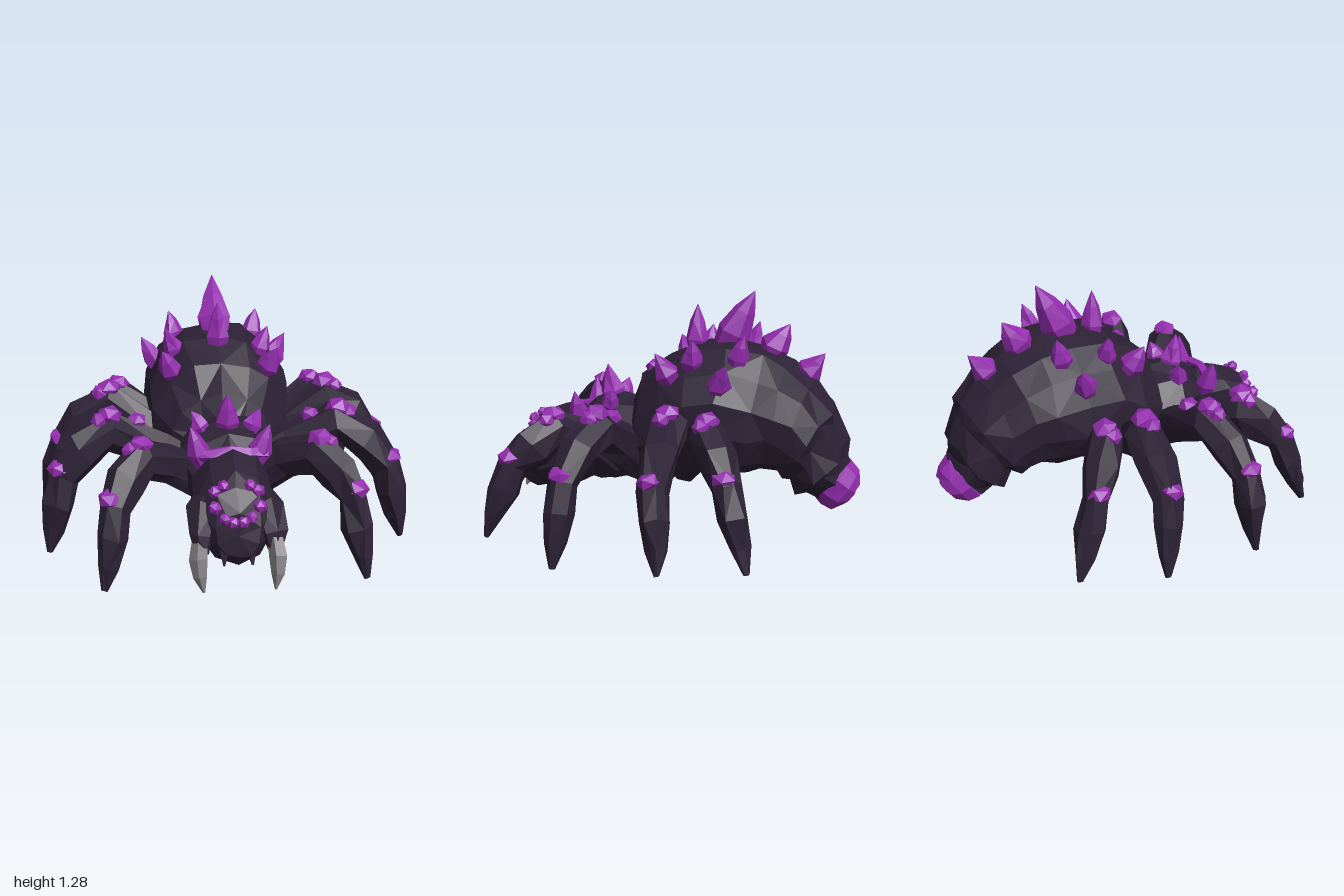
import * as THREE from 'three';

const V = (x, y, z) => new THREE.Vector3(x, y, z);

export function createModel() {
  const model = new THREE.Group();
  model.name = 'crystalSpider';
  const mat = (name, color) => {
    const m = new THREE.MeshStandardMaterial({ color });
    m.name = name;
    return m;
  };
  const shell = mat('darkShell', 0x2c2135);
  const crystal = mat('purpleCrystal', 0x952db0);
  const horn = mat('greyHorn', 0x7d787c);

  let seed = 7;
  const rand = () => {
    seed = (seed * 16807) % 2147483647;
    return seed / 2147483647 - 0.5;
  };

  const add = (name, geo, material, parent = model) => {
    const mesh = new THREE.Mesh(geo, material);
    mesh.name = name;
    parent.add(mesh);
    return mesh;
  };

  // Faceted skin over a row of rings with closed ends; faces are turned outward by volume.
  function skin(rings) {
    const n = rings[0].length, tris = [];
    const middle = (r) => r.reduce((a, p) => a.add(p), V(0, 0, 0)).divideScalar(n);
    const first = middle(rings[0]), last = middle(rings[rings.length - 1]);
    for (let j = 0; j < n; j++) {
      const k = (j + 1) % n;
      for (let i = 0; i < rings.length - 1; i++) {
        const [a, b] = [rings[i], rings[i + 1]];
        if ((i + j) % 2) tris.push([a[j], a[k], b[k]], [a[j], b[k], b[j]]);
        else tris.push([a[j], a[k], b[j]], [a[k], b[k], b[j]]);
      }
      tris.push([first, rings[0][k], rings[0][j]]);
      const e = rings[rings.length - 1];
      tris.push([last, e[j], e[k]]);
    }
    const volume = tris.reduce((s, [a, b, c]) => s + a.dot(b.clone().cross(c)), 0);
    const pts = tris.flatMap(([a, b, c]) => (volume < 0 ? [a, c, b] : [a, b, c]));
    const geo = new THREE.BufferGeometry().setFromPoints(pts);
    geo.computeVertexNormals();
    return geo;
  }

  const ring = (c, right, up, n, jitter) => Array.from({ length: n }, (_, j) => {
    const a = ((j + 0.5) / n) * Math.PI * 2;
    return c.clone().addScaledVector(right, Math.cos(a)).addScaledVector(up, Math.sin(a))
      .add(V(rand(), rand(), rand()).multiplyScalar(jitter));
  });

  // Body rings given as top z, top y, bottom z, bottom y, half width.
  const body = (rows, n, jitter) => skin(rows.map(([tz, ty, bz, by, w]) => ring(
    V(0, (ty + by) / 2, (tz + bz) / 2), V(w, 0, 0), V(0, (ty - by) / 2, (tz - bz) / 2), n, jitter)));

  // Limb along points given as x, y, z, half width and optional half depth.
  function limb(points, n, jitter = 0) {
    const p = points.map(([x, y, z]) => V(x, y, z));
    const right = V(0, 1, 0).cross(p[p.length - 1].clone().sub(p[0]));
    if (right.length() < 0.01) right.set(1, 0, 0);
    right.normalize();
    return skin(p.map((c, i) => {
      const t = p[Math.min(i + 1, p.length - 1)].clone().sub(p[Math.max(i - 1, 0)]);
      const up = t.cross(right).normalize();
      const [, , , r, depth = r] = points[i];
      return ring(c, right.clone().multiplyScalar(r), up.multiplyScalar(depth), n, jitter * Math.min(1, r / 0.05));
    }));
  }

  const between = (a, b, t) => a.map((v, i) => v + (b[i] - v) * t);

  // Pointed crystal from its base to its tip.
  function spike(name, base, tip, r) {
    const at = (t, k) => [...between(base, tip, t), r * k];
    add(name, limb([at(-0.3, 0.75), at(0.15, 1), at(0.6, 0.58), at(1, 0.02)], 6, 0.014), crystal);
  }

  function gem(name, x, y, z, r, h, parent) {
    const m = add(name, new THREE.IcosahedronGeometry(1, 0), crystal, parent);
    m.position.set(x, y, z);
    m.scale.set(r, h, r);
    m.rotation.set(rand() * 0.5, rand() * 6, rand() * 0.5);
  }

  // Abdomen, with a few uneven folds at the tail
  add('abdomen', body([
    [0.27, 0.62, 0.25, 0.35, 0.14], [0.20, 0.78, 0.18, 0.27, 0.27],
    [0.06, 0.92, 0.08, 0.25, 0.36], [-0.10, 1.00, -0.08, 0.27, 0.40],
    [-0.30, 1.03, -0.25, 0.28, 0.405], [-0.48, 0.99, -0.38, 0.29, 0.39],
    [-0.62, 0.92, -0.48, 0.31, 0.37], [-0.74, 0.83, -0.54, 0.31, 0.34],
    [-0.85, 0.70, -0.57, 0.27, 0.315], [-0.86, 0.64, -0.62, 0.27, 0.27],
    [-0.93, 0.49, -0.66, 0.19, 0.25], [-0.92, 0.43, -0.70, 0.20, 0.19],
    [-0.93, 0.38, -0.77, 0.16, 0.14],
  ], 14, 0.035), shell);
  add('tailCrystal', body([
    [-0.88, 0.38, -0.74, 0.18, 0.12], [-0.94, 0.385, -0.78, 0.13, 0.135],
    [-0.99, 0.33, -0.84, 0.11, 0.12], [-1.0, 0.27, -0.92, 0.14, 0.08], [-0.99, 0.24, -0.96, 0.19, 0.03],
  ], 9, 0.012), crystal);

  // Thorax and head
  add('thorax', body([
    [0.05, 0.55, 0.0, 0.30, 0.2], [0.22, 0.69, 0.18, 0.23, 0.24], [0.36, 0.70, 0.34, 0.20, 0.235],
    [0.47, 0.66, 0.46, 0.19, 0.21], [0.56, 0.57, 0.55, 0.20, 0.18],
  ], 10, 0.03), shell);
  add('head', body([
    [0.47, 0.56, 0.50, 0.20, 0.17], [0.57, 0.63, 0.58, 0.16, 0.205], [0.66, 0.61, 0.66, 0.14, 0.2],
    [0.76, 0.57, 0.76, 0.12, 0.2], [0.84, 0.53, 0.85, 0.12, 0.18], [0.90, 0.42, 0.93, 0.19, 0.11],
  ], 10, 0.02), shell);

  // Crystal band across the head
  add('headBand', limb([-0.19, -0.1, 0, 0.1, 0.19].map((x) => [x, 0.605 - Math.abs(x) * 0.15, 0.58 - x * x, 0.032]), 5, 0.015), crystal);
  spike('thoraxSpike', [0, 0.68, 0.38], [0, 0.85, 0.41], 0.065);

  // Spikes along the back: base, tip, radius
  [
    [[0, 0.98, -0.10], [0, 1.2, -0.10], 0.065], [[0, 1.02, -0.28], [0, 1.28, -0.41], 0.095],
    [[0, 0.97, -0.51], [0, 1.11, -0.60], 0.08], [[0, 0.85, -0.69], [0, 0.96, -0.79], 0.07],
  ].forEach(([b, t, r]) => spike('backSpike', b, t, r));

  const sideSpikes = [
    [0.26, 0.85, 0.0, 0.31, 0.98, 0.06, 0.065], [0.23, 0.92, -0.12, 0.28, 1.05, -0.13, 0.06],
    [0.33, 0.82, -0.28, 0.41, 0.95, -0.33, 0.065], [0.22, 0.94, -0.36, 0.25, 1.08, -0.40, 0.06],
    [0.13, 0.65, 0.36, 0.18, 0.74, 0.34, 0.055], [0.15, 0.57, 0.53, 0.20, 0.73, 0.54, 0.058],
  ];

  // Eyes: x, y, z, radius
  const eyes = [
    [0.065, 0.535, 0.83, 0.032], [0.105, 0.50, 0.82, 0.035], [0.11, 0.44, 0.87, 0.036],
    [0.065, 0.395, 0.9, 0.032], [0.024, 0.38, 0.915, 0.032],
  ];

  // Leg joints: root, coxa, hip, thigh, knee, foot
  const legs = [
    [[0.10, 0.33, 0.34], [0.30, 0.50, 0.45], [0.45, 0.57, 0.57], [0.53, 0.50, 0.66], [0.59, 0.41, 0.75], [0.65, 0.03, 0.89]],
    [[0.10, 0.33, 0.22], [0.36, 0.50, 0.24], [0.60, 0.63, 0.29], [0.74, 0.55, 0.34], [0.85, 0.42, 0.38], [0.94, 0.01, 0.42]],
    [[0.10, 0.33, 0.05], [0.37, 0.49, -0.04], [0.60, 0.65, -0.08], [0.74, 0.57, -0.08], [0.86, 0.42, -0.07], [0.985, 0.04, -0.12]],
    [[0.10, 0.33, -0.04], [0.36, 0.51, -0.19], [0.55, 0.61, -0.27], [0.65, 0.53, -0.34], [0.73, 0.42, -0.40], [0.80, 0.01, -0.52]],
  ];
  // Half width and half depth along every leg
  const thickness = [[0.09, 0.11], [0.08, 0.11], [0.095, 0.11], [0.097, 0.11], [0.075, 0.075], [0.08, 0.08], [0.05, 0.05], [0.015, 0.015]];

  for (const s of [1, -1]) {
    const side = s > 0 ? 'left' : 'right';
    sideSpikes.forEach(([a, b, c, d, e, f, r]) => spike(side + 'Spike', [s * a, b, c], [s * d, e, f], r));
    eyes.forEach(([x, y, z, r]) => gem(side + 'Eye', s * x, y, z, r, r));

    // Jaws with fangs
    const flip = (pts) => pts.map(([x, ...rest]) => [s * x, ...rest]);
    add(side + 'Jaw', limb(flip([[0.12, 0.42, 0.66, 0.07], [0.165, 0.38, 0.78, 0.085],
      [0.18, 0.29, 0.87, 0.065], [0.18, 0.22, 0.91, 0.035]]), 6, 0.015), shell);
    add(side + 'Fang', limb(flip([[0.185, 0.28, 0.89, 0.04], [0.195, 0.2, 0.93, 0.048],
      [0.19, 0.12, 0.965, 0.035], [0.175, 0.05, 0.99, 0.006]]), 5), horn);
    add(side + 'ChinTooth', limb(flip([[0.06, 0.28, 0.87, 0.05], [0.07, 0.15, 0.92, 0.006]]), 4), shell);

    // Legs with knee crystals
    legs.forEach((joints, i) => {
      const leg = new THREE.Group();
      leg.name = side + 'Leg' + (i + 1);
      const [, , hip, , knee, foot] = joints;
      const path = [...joints.slice(0, 5), between(knee, foot, 0.35), between(knee, foot, 0.7), foot];
      add('limb', limb(flip(path.map((p, j) => [...p, ...thickness[j]])), 7, 0.025), shell, leg);
      gem('upperCrystal', s * hip[0], hip[1] + 0.085, hip[2], 0.07, 0.055, leg);
      gem('upperChip', s * (hip[0] + 0.05), hip[1] + 0.065, hip[2] + 0.02, 0.05, 0.05, leg);
      gem('lowerCrystal', s * (knee[0] + 0.015), knee[1] + 0.05, knee[2] + 0.01, 0.068, 0.048, leg);
      if (i === 1) gem('hipCrystal', s * 0.46, 0.665, 0.25, 0.055, 0.045, leg);
      model.add(leg);
    });
  }
  return model;
}
